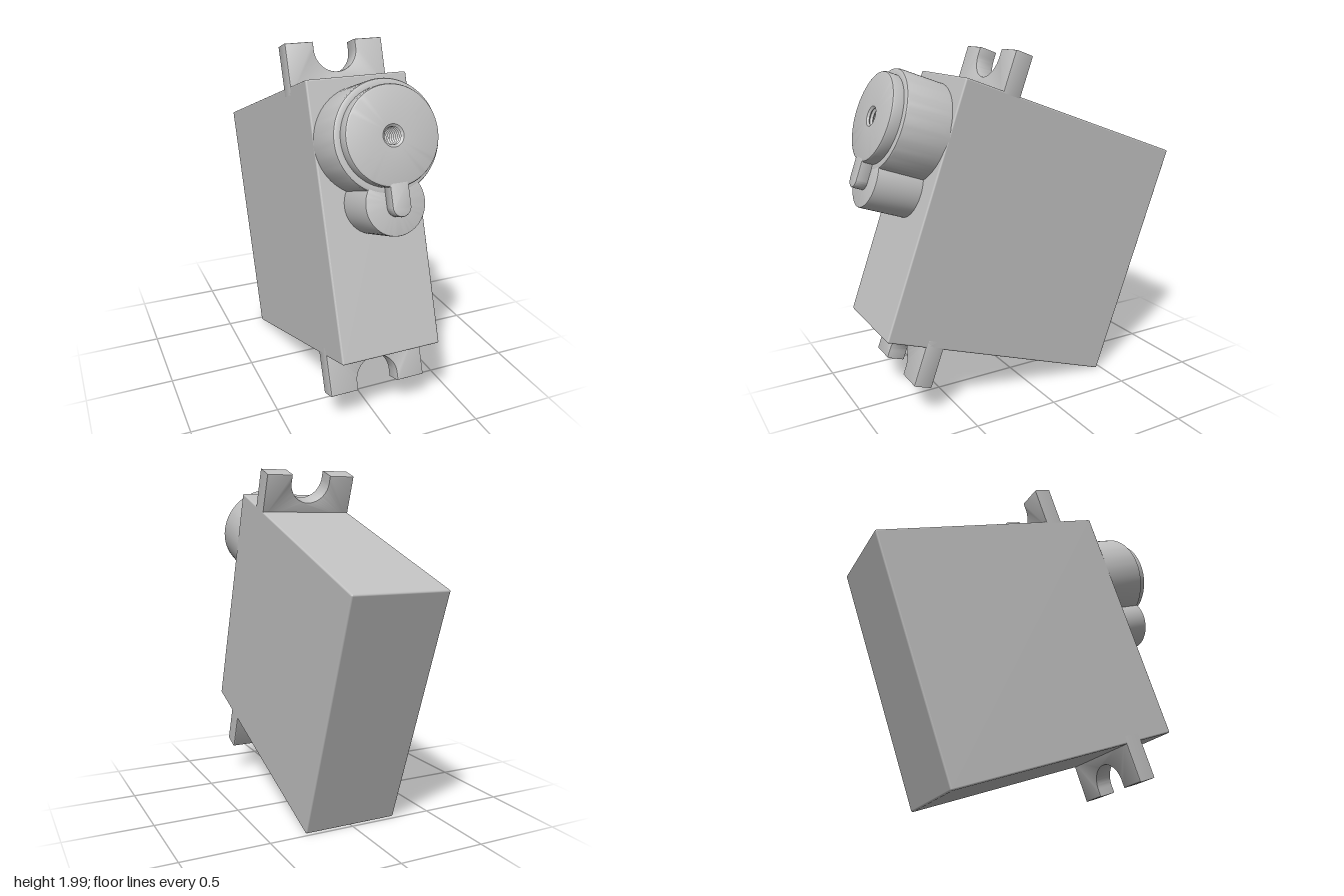
import * as THREE from 'three';
import { toCreasedNormals } from 'three/addons/utils/BufferGeometryUtils.js';
import { RoundedBoxGeometry } from 'three/addons/geometries/RoundedBoxGeometry.js';

const HALF_W = 0.28, HALF_H = 0.7235, HALF_D = 0.74;
const TOWER_Y = 0.392, BOSS_Y = 0.07;

export function createModel() {
  const model = new THREE.Group();
  model.name = 'servoMotor';
  const plastic = new THREE.MeshStandardMaterial({ color: 0xc0c0c0 });
  plastic.name = 'light grey plastic';

  // Everything is built upright, then tilted back as one piece
  const servo = new THREE.Group();
  servo.name = 'tiltedServo';
  servo.position.set(0, 0.937, -0.0275);
  servo.rotation.x = -Math.PI / 9;
  model.add(servo);

  const add = (name, geometry, x = 0, y = 0, z = 0) => {
    const mesh = new THREE.Mesh(geometry, plastic);
    mesh.name = name;
    mesh.position.set(x, y, z);
    servo.add(mesh);
    return mesh;
  };
  // Turned part with its axis along z
  const turned = (profile, segments = 72) => {
    const points = profile.map(([r, z]) => new THREE.Vector2(r, z));
    return toCreasedNormals(new THREE.LatheGeometry(points, segments).rotateX(Math.PI / 2), 0.5);
  };
  // Plate with slightly eased edges, from z = 0 to z = depth
  const plate = (shape, depth, bevel) => {
    const geometry = new THREE.ExtrudeGeometry(shape, {
      depth: depth - 2 * bevel, bevelEnabled: true, bevelThickness: bevel,
      bevelSize: bevel, bevelOffset: -bevel, bevelSegments: 2, curveSegments: 24,
    });
    return toCreasedNormals(geometry.translate(0, 0, bevel), 0.5);
  };

  // Case
  add('body', new RoundedBoxGeometry(2 * HALF_W, 2 * HALF_H, 2 * HALF_D, 3, 0.01));

  // Mounting ears with open round-ended screw slots
  const ear = new THREE.Shape();
  const slot = 0.12, tip = 0.948;
  ear.moveTo(-HALF_W, 0.68);
  ear.lineTo(HALF_W, 0.68);
  ear.lineTo(HALF_W, tip);
  ear.lineTo(slot, tip);
  ear.lineTo(slot, 0.902);
  ear.absarc(0, 0.902, slot, 0, Math.PI, true);
  ear.lineTo(-slot, tip);
  ear.lineTo(-HALF_W, tip);
  ear.closePath();
  const earGeometry = plate(ear, 0.111, 0.007);
  add('upperMountingEar', earGeometry, 0, 0, 0.396);
  add('lowerMountingEar', earGeometry, 0, 0, 0.507).rotation.x = Math.PI;

  // Gear tower with raised cap and a threaded shaft hole
  const tower = [
    [0.28, 0.70], [0.28, 0.99], [0.276, 0.999], [0.267, 1.003], [0.245, 1.003],
    [0.245, 1.052], [0.241, 1.061], [0.232, 1.065], [0.055, 1.065],
  ];
  for (let z = 1.055; z > 0.76; z -= 0.02) tower.push([0.043, z], [0.055, z - 0.01]);
  tower.push([0.043, 0.745], [0, 0.745]);
  add('gearTower', turned(tower), 0, TOWER_Y);

  // Smaller boss below the tower
  add('gearBoss', turned([
    [0.16, 0.70], [0.16, 0.994], [0.158, 1.0], [0.152, 1.002], [0, 1.002],
  ]), 0, BOSS_Y);

  // Round-ended key running down from the cap
  const key = new THREE.Shape();
  key.moveTo(0.05, 0.175);
  key.lineTo(-0.05, 0.175);
  key.lineTo(-0.05, 0.055);
  key.absarc(0, 0.055, 0.05, Math.PI, 2 * Math.PI, false);
  key.closePath();
  add('capKey', plate(key, 0.076, 0.009), 0, 0, 0.99);

  return model;
}
